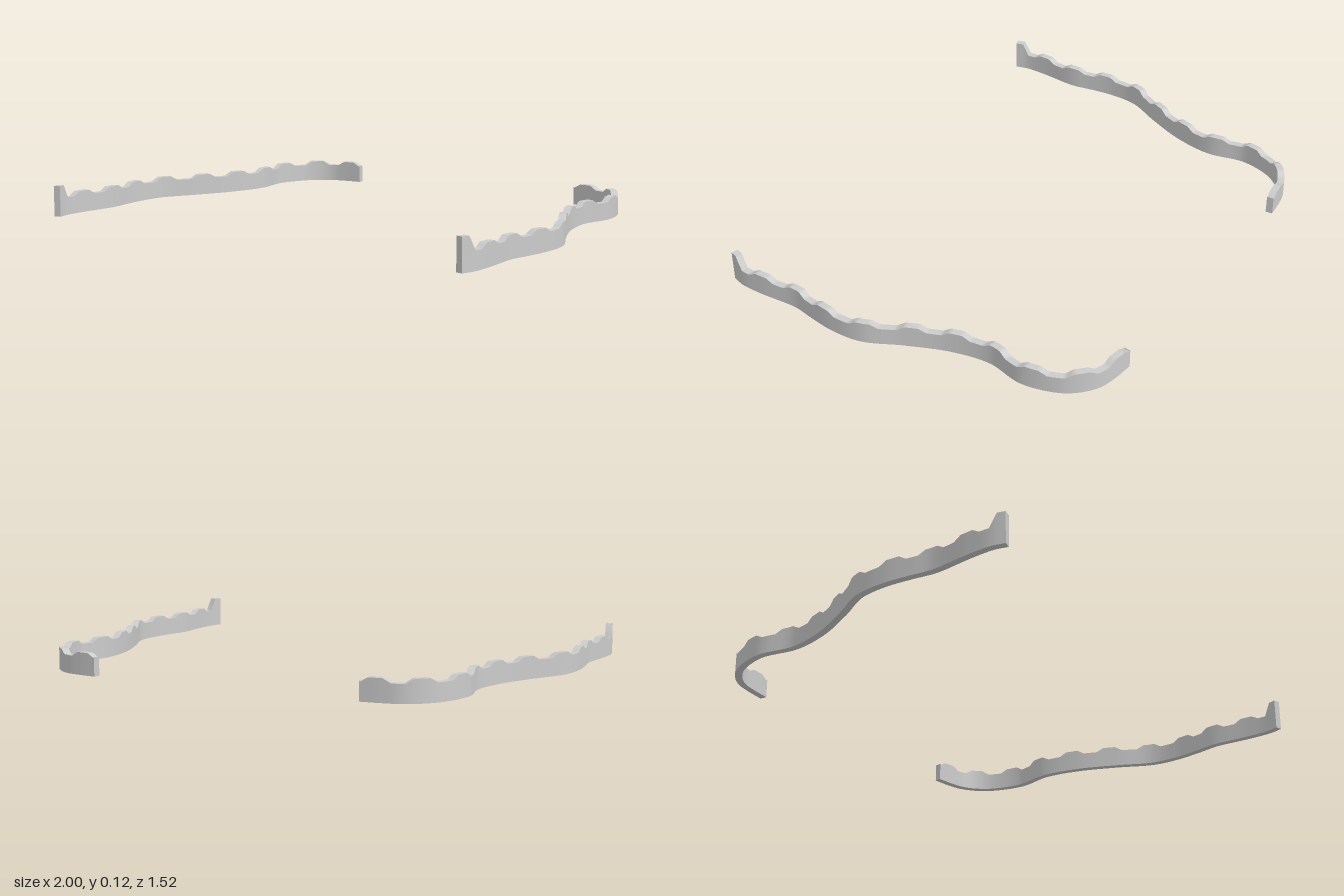
import * as THREE from 'three';
import { toCreasedNormals } from 'three/addons/utils/BufferGeometryUtils.js';

const THICKNESS = 0.028, VALLEY = 0.07, CREST = 0.087, TAB = 0.123;

// Plan of one strip as (x, z), from the front tab to the curled back end
const plan = new THREE.CatmullRomCurve3([
  [0.952, 0.757], [0.966, 0.705], [0.967, 0.61], [0.957, 0.45], [0.972, 0.36], [0.985, 0.25],
  [0.975, 0.13], [0.905, -0.016], [0.838, -0.18], [0.811, -0.337], [0.838, -0.49],
  [0.806, -0.62], [0.762, -0.682], [0.702, -0.724], [0.635, -0.74], [0.557, -0.749],
].map(([x, z]) => new THREE.Vector3(x, 0, z)), false, 'centripetal');
plan.arcLengthDivisions = 1000;
const length = plan.getLength();

// Distance along the strip at which it reaches a given z
function distanceAtZ(z) {
  let a = 0, b = 1;
  for (let i = 0; i < 30; i++) {
    const m = (a + b) / 2;
    if (plan.getPointAt(m).z > z) a = m; else b = m;
  }
  return a * length;
}

// Outline of the upper edge as [distance, height]: tab, then a row of crests
function upperEdge() {
  const edge = [[0, TAB], [distanceAtZ(0.727), TAB], [distanceAtZ(0.7), VALLEY]];
  for (const z of [0.607, 0.447, 0.292, 0.117, -0.043, -0.2, -0.365, -0.53, -0.685, -0.743]) {
    const s = distanceAtZ(z);
    edge.push([s - 0.056, VALLEY], [s - 0.026, CREST], [s + 0.026, CREST], [s + 0.056, VALLEY]);
  }
  return edge.filter(([s]) => s < length).concat([[length, VALLEY + 0.004]]);
}

// Subdivide the outline so that every corner keeps its own station
function stations() {
  const edge = upperEdge(), out = [edge[0]];
  for (let i = 1; i < edge.length; i++) {
    const [s0, h0] = edge[i - 1], [s1, h1] = edge[i];
    const n = Math.max(1, Math.ceil((s1 - s0) / 0.012));
    for (let k = 1; k <= n; k++) out.push([s0 + (s1 - s0) * k / n, h0 + (h1 - h0) * k / n]);
  }
  return out;
}

// A box bent along the plan, its top following the outline
function stripGeometry(side) {
  const row = stations(), n = row.length - 1;
  const geo = new THREE.BoxGeometry(1, 1, 1, n, 1, 1);
  const pos = geo.attributes.position;
  for (let i = 0; i < pos.count; i++) {
    const k = Math.round((pos.getX(i) + 0.5) * n);
    // running the opposite way on the mirrored side keeps faces outward
    const [s, h] = row[side > 0 ? k : n - k];
    const u = Math.min(1, s / length);
    const p = plan.getPointAt(u), t = plan.getTangentAt(u);
    const off = pos.getZ(i) * THICKNESS;
    pos.setXYZ(i, side * (p.x - t.z * off), pos.getY(i) > 0 ? h : 0, p.z + t.x * off);
  }
  return toCreasedNormals(geo, 0.6);
}

export function createModel() {
  const group = new THREE.Group();
  const material = new THREE.MeshStandardMaterial({ color: 0xcccccc });
  for (const side of [1, -1]) {
    const strip = new THREE.Mesh(stripGeometry(side), material);
    strip.name = side > 0 ? 'leftScallopedStrip' : 'rightScallopedStrip';
    group.add(strip);
  }
  return group;
}
